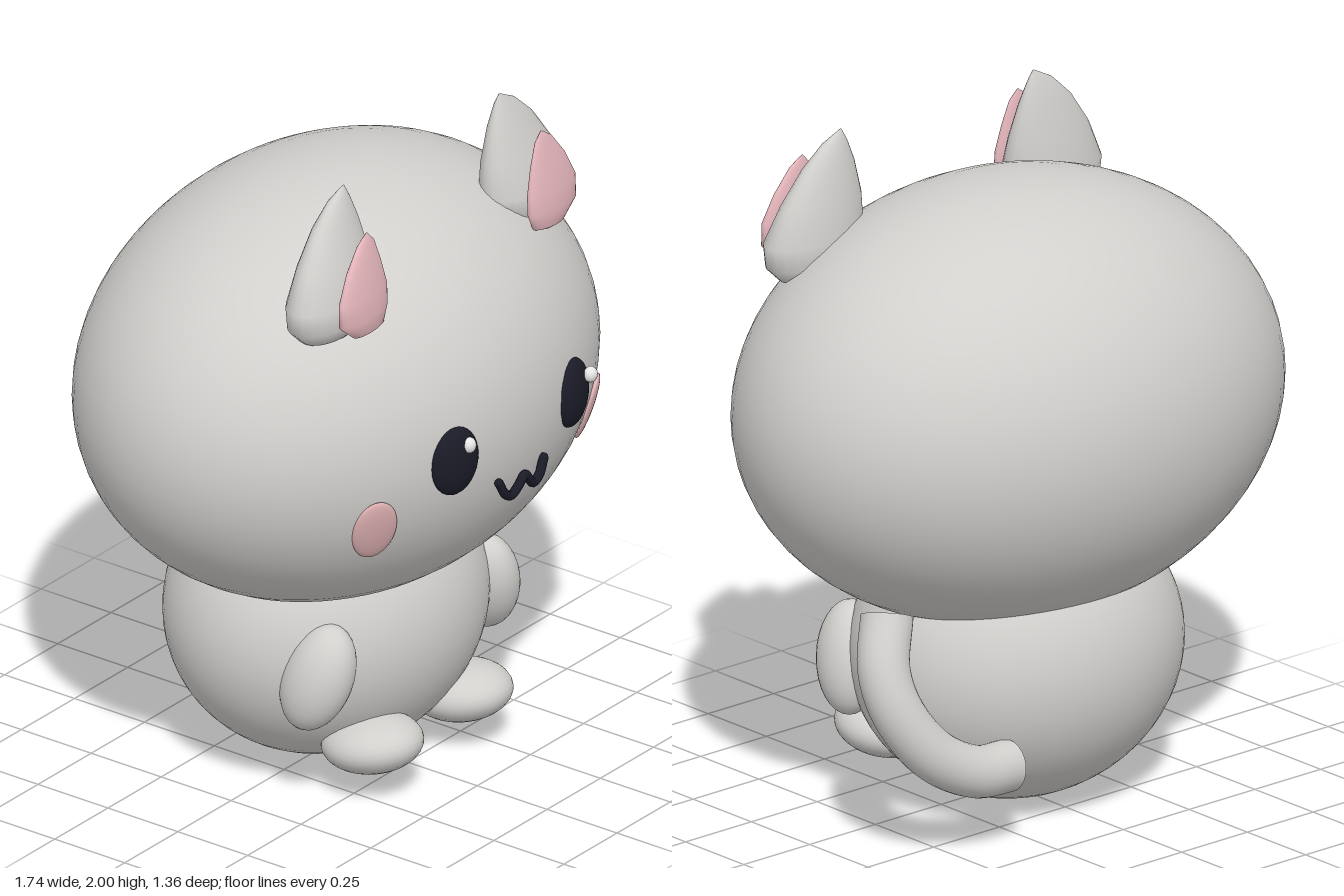
import * as THREE from 'three';

const mat = (name, color) => {
  const m = new THREE.MeshStandardMaterial({ color });
  m.name = name;
  return m;
};

export function createModel() {
  const fur = mat('fur grey', 0xd2d0cd);
  const pink = mat('ear pink', 0xf6c4ca);
  const blush = mat('blush pink', 0xe2b3b5);
  const dark = mat('eye black', 0x1b1b28);
  const white = mat('highlight white', 0xf8f8f8);

  const group = new THREE.Group();
  const add = (name, geometry, material) => {
    const mesh = new THREE.Mesh(geometry, material);
    mesh.name = name;
    group.add(mesh);
    return mesh;
  };
  const ball = (name, material, pos, radii, rot = [0, 0, 0], seg = 32) => {
    const mesh = add(name, new THREE.SphereGeometry(1, seg, seg / 2), material);
    mesh.position.set(...pos);
    mesh.scale.set(...radii);
    mesh.rotation.set(...rot);
    return mesh;
  };

  // Closed loft: each station is [leftX, leftY, rightX, rightY, halfDepth, z]
  const loft = (stations, side, n = 24) => {
    const pos = [], index = [];
    stations.forEach(([lx, ly, rx, ry, d, z], i) => {
      for (let j = 0; j < n; j++) {
        const a = (j / n) * Math.PI * 2;
        const c = Math.cos(a) * side;
        const x = (lx + rx) / 2 + c * (rx - lx) / 2;
        const y = (ly + ry) / 2 + c * (ry - ly) / 2;
        pos.push(x * side, y, z + d * Math.sin(a));
        if (i === 0) continue;
        const k = (j + 1) % n, b = (i - 1) * n, t = i * n;
        index.push(b + j, t + j, b + k, b + k, t + j, t + k);
      }
    });
    const g = new THREE.BufferGeometry();
    g.setAttribute('position', new THREE.Float32BufferAttribute(pos, 3));
    g.setIndex(index);
    g.computeVertexNormals();
    return g;
  };

  // Head and body
  const R = [0.87, 0.645, 0.675], headY = 1.195;
  ball('head', fur, [0, headY, -0.005], R, [0, 0, 0], 64);
  ball('body', fur, [0, 0.45, -0.04], [0.51, 0.445, 0.44], [0, 0, 0], 64);

  const outerEar = [
    [0.44, 1.585, 0.48, 1.578, 0.005, 0.32],
    [0.34, 1.61, 0.57, 1.578, 0.075, 0.32],
    [0.29, 1.65, 0.615, 1.62, 0.095, 0.32],
    [0.28, 1.7, 0.625, 1.69, 0.095, 0.32],
    [0.29, 1.8, 0.575, 1.8, 0.068, 0.31],
    [0.318, 1.9, 0.505, 1.9, 0.042, 0.303],
    [0.345, 1.965, 0.435, 1.965, 0.02, 0.3],
    [0.364, 2, 0.368, 2, 0.001, 0.3],
  ];
  const innerEar = [
    [0.41, 1.592, 0.43, 1.59, 0.003, 0.432],
    [0.355, 1.61, 0.49, 1.6, 0.022, 0.432],
    [0.335, 1.66, 0.55, 1.65, 0.03, 0.43],
    [0.335, 1.72, 0.55, 1.72, 0.028, 0.428],
    [0.355, 1.8, 0.51, 1.8, 0.02, 0.422],
    [0.38, 1.87, 0.455, 1.87, 0.011, 0.418],
    [0.408, 1.9, 0.412, 1.9, 0.001, 0.416],
  ];

  for (const s of [1, -1]) {
    const side = s > 0 ? 'left' : 'right';
    add(side + 'Ear', loft(outerEar, s), fur);
    add(side + 'InnerEar', loft(innerEar, s), pink);

    // Eyes with a highlight on the same side of each
    ball(side + 'Eye', dark, [s * 0.275, 1.185, 0.628], [0.085, 0.105, 0.038], [0, s * 0.2, 0]);
    ball(side + 'EyeHighlight', white, [s * 0.285 + 0.035, 1.235, 0.662], [0.022, 0.024, 0.02], [0, 0, 0], 16);

    // Cheek discs lying along the head surface
    const cheek = ball(side + 'Cheek', blush, [s * 0.5, 1.02, 0.513], [0.068, 0.105, 0.018]);
    const normal = new THREE.Vector3(s * 0.5 / R[0] ** 2, (1.02 - headY) / R[1] ** 2, 0.515 / R[2] ** 2);
    cheek.lookAt(cheek.position.clone().add(normal));

    // Limbs
    ball(side + 'Arm', fur, [s * 0.393, 0.425, 0.23], [0.09, 0.166, 0.106], [0.25, 0, s * 0.24]);
    ball(side + 'Foot', fur, [s * 0.21, 0.165, 0.285], [0.142, 0.085, 0.152], [-0.14, 0, 0]);
  }

  // Wavy mouth
  const V = (p) => new THREE.Vector3(...p);
  const mouth = new THREE.CatmullRomCurve3([
    [-0.105, 1.055, 0.658], [-0.08, 1.012, 0.661], [-0.052, 0.997, 0.661], [-0.025, 1.02, 0.667], [0, 1.046, 0.67],
    [0.025, 1.02, 0.667], [0.052, 0.997, 0.661], [0.08, 1.012, 0.661], [0.105, 1.055, 0.658],
  ].map(V));
  add('mouth', new THREE.TubeGeometry(mouth, 48, 0.014, 10), dark);
  for (const x of [-0.105, 0.105]) ball('mouthEnd', dark, [x, 1.055, 0.658], [0.014, 0.014, 0.014], [0, 0, 0], 12);

  // Curled tail with flat ends
  const tail = new THREE.CatmullRomCurve3([
    [0.32, 0.24, -0.365], [0.45, 0.255, -0.37], [0.59, 0.335, -0.345],
    [0.68, 0.47, -0.3], [0.695, 0.59, -0.257], [0.642, 0.73, -0.21],
  ].map(V));
  add('tail', new THREE.TubeGeometry(tail, 48, 0.076, 24), fur);
  for (const t of [0, 1]) {
    const cap = add('tailEnd', new THREE.CircleGeometry(0.076, 24), fur);
    const p = tail.getPointAt(t);
    cap.position.copy(p);
    cap.lookAt(p.clone().addScaledVector(tail.getTangentAt(t), t ? 1 : -1));
  }
  return group;
}
